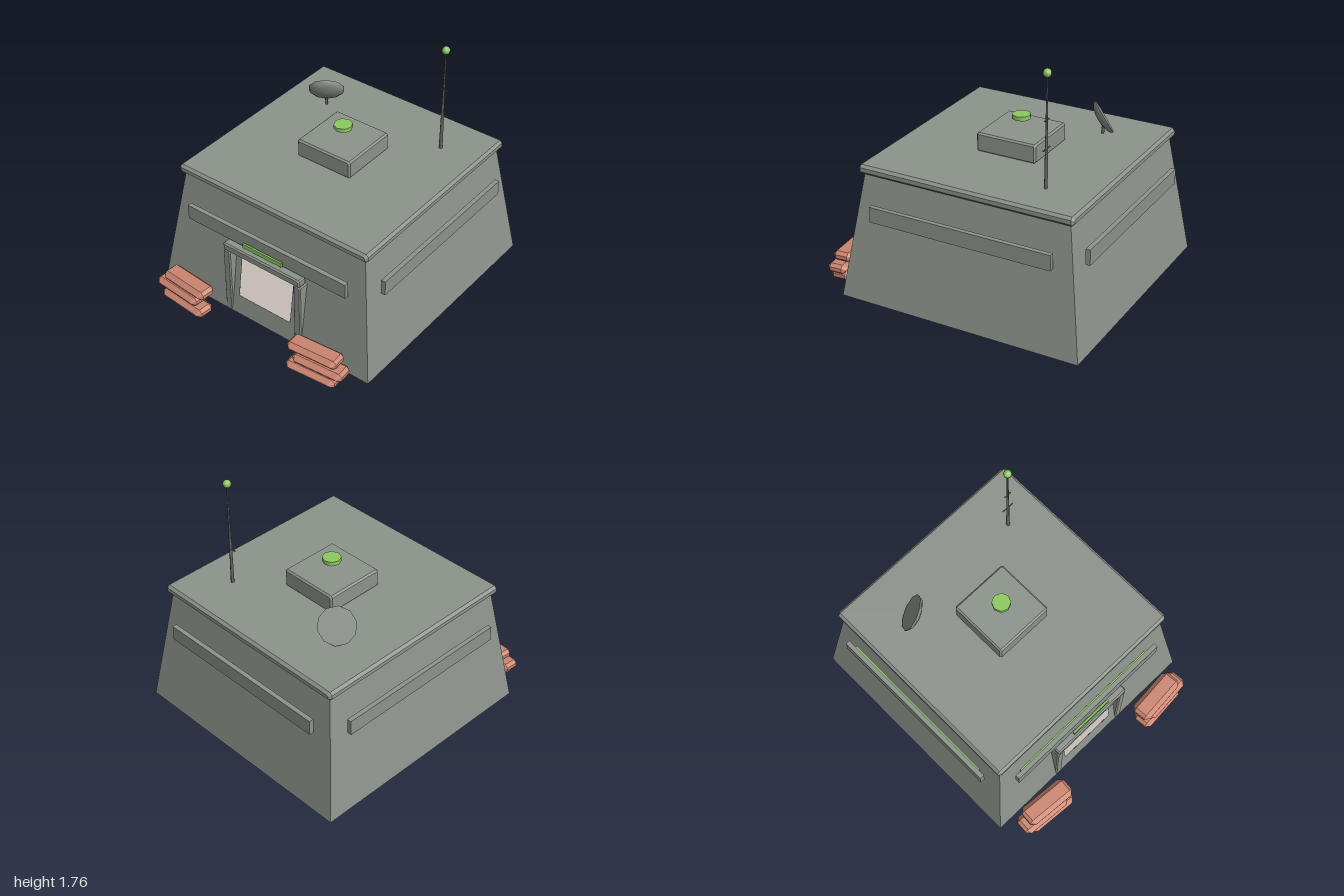
import * as THREE from 'three';

const material = (name, color, side = THREE.FrontSide) => {
  const m = new THREE.MeshStandardMaterial({ color, side });
  m.name = name;
  return m;
};

export function createModel() {
  const concrete = material('concrete grey', 0x8d948c);
  const metal = material('dark metal', 0x636864);
  const glow = material('glow green', 0x8dca60);
  const sack = material('sandbag clay', 0xcc8570);
  const plaster = material('room plaster', 0xc6beb6, THREE.BackSide);

  const model = new THREE.Group();
  model.name = 'bunker';
  // Everything structural is centred on the hull, which sits a little behind the origin
  const CZ = -0.115, BASE = 0.885, TOP = 0.75, H = 0.9;
  const inset = y => BASE + (TOP - BASE) * y / H;

  function add(name, geometry, mat, x = 0, y = 0, z = 0, parent = model) {
    const mesh = new THREE.Mesh(geometry, mat);
    mesh.name = name;
    mesh.position.set(x, y, z);
    parent.add(mesh);
    return mesh;
  }
  const box = (w, h, d) => new THREE.BoxGeometry(w, h, d);

  // Box with every edge chamfered by c
  function chamferBox(w, h, d, c) {
    const a = w / 2 - c, b = h / 2 - c, t = Math.min(c * 0.414, b * 0.9);
    const shape = new THREE.Shape([
      [a - t, -b], [a, -b + t], [a, b - t], [a - t, b],
      [-a + t, b], [-a, b - t], [-a, -b + t], [-a + t, -b],
    ].map(p => new THREE.Vector2(...p)));
    const g = new THREE.ExtrudeGeometry(shape, {
      depth: d - 2 * c, bevelEnabled: true, bevelSegments: 1, bevelSize: c, bevelThickness: c,
    });
    g.translate(0, 0, -(d - 2 * c) / 2);
    return g;
  }

  // Sloping hull, without its front wall
  const hull = box(2, H, 2);
  hull.translate(0, H / 2, 0);
  const hp = hull.attributes.position;
  for (let i = 0; i < hp.count; i++) {
    const s = inset(hp.getY(i));
    hp.setXYZ(i, hp.getX(i) * s, hp.getY(i), hp.getZ(i) * s + CZ);
  }
  const faces = Array.from(hull.index.array);
  faces.splice(24, 6);
  hull.setIndex(faces);
  hull.clearGroups();
  hull.computeVertexNormals();
  add('hull', hull, concrete);

  // Front wall with the doorway cut through
  const outline = new THREE.Shape();
  outline.moveTo(-BASE, 0).lineTo(BASE, 0).lineTo(TOP, H).lineTo(-TOP, H).closePath();
  const doorway = new THREE.Path();
  doorway.moveTo(-0.22, 0.145).lineTo(-0.22, 0.52).lineTo(0.22, 0.52).lineTo(0.22, 0.145).closePath();
  outline.holes.push(doorway);
  const front = new THREE.ShapeGeometry(outline);
  const fp = front.attributes.position;
  for (let i = 0; i < fp.count; i++) fp.setZ(i, inset(fp.getY(i)) + CZ);
  front.computeVertexNormals();
  add('frontWall', front, concrete);

  // Room behind the doorway, following the slope of the front wall
  const room = box(1.5, 0.39, 1);
  const rp = room.attributes.position;
  for (let i = 0; i < rp.count; i++) {
    const y = rp.getY(i) + 0.335;
    rp.setY(i, y);
    rp.setZ(i, rp.getZ(i) > 0 ? inset(y) + CZ - 0.002 : -0.1);
  }
  room.computeVertexNormals();
  add('room', room, plaster);
  add('roomScreen', box(0.6, 0.185, 0.01), glow, 0, 0.4325, -0.09);
  add('screenRail', box(0.6, 0.012, 0.03), metal, 0, 0.338, -0.085);
  add('roomLamp', new THREE.CylinderGeometry(0.026, 0.012, 0.075, 6), metal, 0, 0.3, -0.06);
  add('floorLight', box(0.45, 0.03, 0.01), glow, 0, 0.16, -0.09);
  add('skirting', box(0.6, 0.022, 0.01), concrete, 0, 0.187, -0.09);
  for (const s of [-1, 1]) add('roomSideLight', box(0.03, 0.055, 0.01), glow, s * 0.215, 0.275, -0.09);

  // Roof slab, hatch and beacon
  add('roofSlab', chamferBox(1.57, 0.065, 1.57, 0.018), concrete, 0, 0.922, CZ);
  add('roofHatch', chamferBox(0.44, 0.135, 0.44, 0.012), concrete, 0, 1.018, CZ);
  add('beacon', new THREE.CylinderGeometry(0.065, 0.065, 0.03, 8).toNonIndexed(), glow, 0, 1.17, CZ);

  // Sight panel and light strip on each of the four walls
  for (let i = 0; i < 4; i++) {
    const side = new THREE.Group();
    side.name = 'wallPanel';
    side.position.z = CZ;
    side.rotation.y = i * Math.PI / 2;
    add('panel', box(1.33, 0.11, 0.033), concrete, 0, 0.645, 0.83, side);
    add('lightStrip', box(1.22, 0.055, 0.014), glow, 0, 0.645, 0.806, side);
    model.add(side);
  }

  // Door frame and the lit sign above it
  for (const s of [-1, 1]) add('doorJamb', chamferBox(0.058, 0.515, 0.1, 0.008), concrete, s * 0.3, 0.2575, 0.72);
  add('lintel', chamferBox(0.65, 0.06, 0.075, 0.01), concrete, 0, 0.546, 0.737);
  add('doorSign', box(0.33, 0.033, 0.014), glow, 0, 0.618, 0.75);

  // Sandbag stacks either side of the door
  const bag = chamferBox(0.38, 0.07, 0.15, 0.031);
  for (const s of [-1, 1]) {
    [[0.555, 0.04, 0.915], [0.605, 0.115, 0.905], [0.55, 0.186, 0.893]].forEach(([x, y, z]) => {
      add('sandbag', bag, sack, s * x, y, z).rotation.y = s * 0.08;
    });
  }

  // Antenna
  const antenna = new THREE.Group();
  antenna.name = 'antenna';
  antenna.position.set(0.495, 0.95, -0.56);
  add('mast', new THREE.CylinderGeometry(0.005, 0.013, 0.77, 6), metal, 0, 0.385, 0, antenna);
  add('crossbar', box(0.09, 0.007, 0.007), metal, 0, 0.275, 0, antenna);
  add('crossbar', box(0.058, 0.007, 0.007), metal, 0, 0.47, 0, antenna);
  add('tipLight', new THREE.SphereGeometry(0.029, 8, 6), glow, 0, 0.78, 0, antenna);
  model.add(antenna);

  // Dish: a shallow bowl with a flat face, tipped up and backwards
  add('dishPost', new THREE.CylinderGeometry(0.01, 0.01, 0.1, 6), metal, -0.445, 0.995, -0.505);
  const dish = new THREE.Group();
  dish.name = 'dish';
  dish.position.set(-0.45, 1.08, -0.51);
  dish.quaternion.setFromUnitVectors(new THREE.Vector3(0, 1, 0), new THREE.Vector3(-0.5, 0.5, -0.7).normalize());
  const bowl = [];
  for (let i = 0; i <= 4; i++) {
    const a = i / 4 * Math.PI / 2;
    bowl.push(new THREE.Vector2(0.13 * Math.sin(a), -0.05 * Math.cos(a)));
  }
  add('bowl', new THREE.LatheGeometry(bowl, 10), concrete, 0, 0, 0, dish);
  const face = new THREE.CircleGeometry(0.13, 10);
  face.rotateX(-Math.PI / 2);
  face.rotateY(Math.PI / 10 * 5);
  add('dishFace', face, concrete, 0, 0, 0, dish);
  model.add(dish);

  return model;
}
